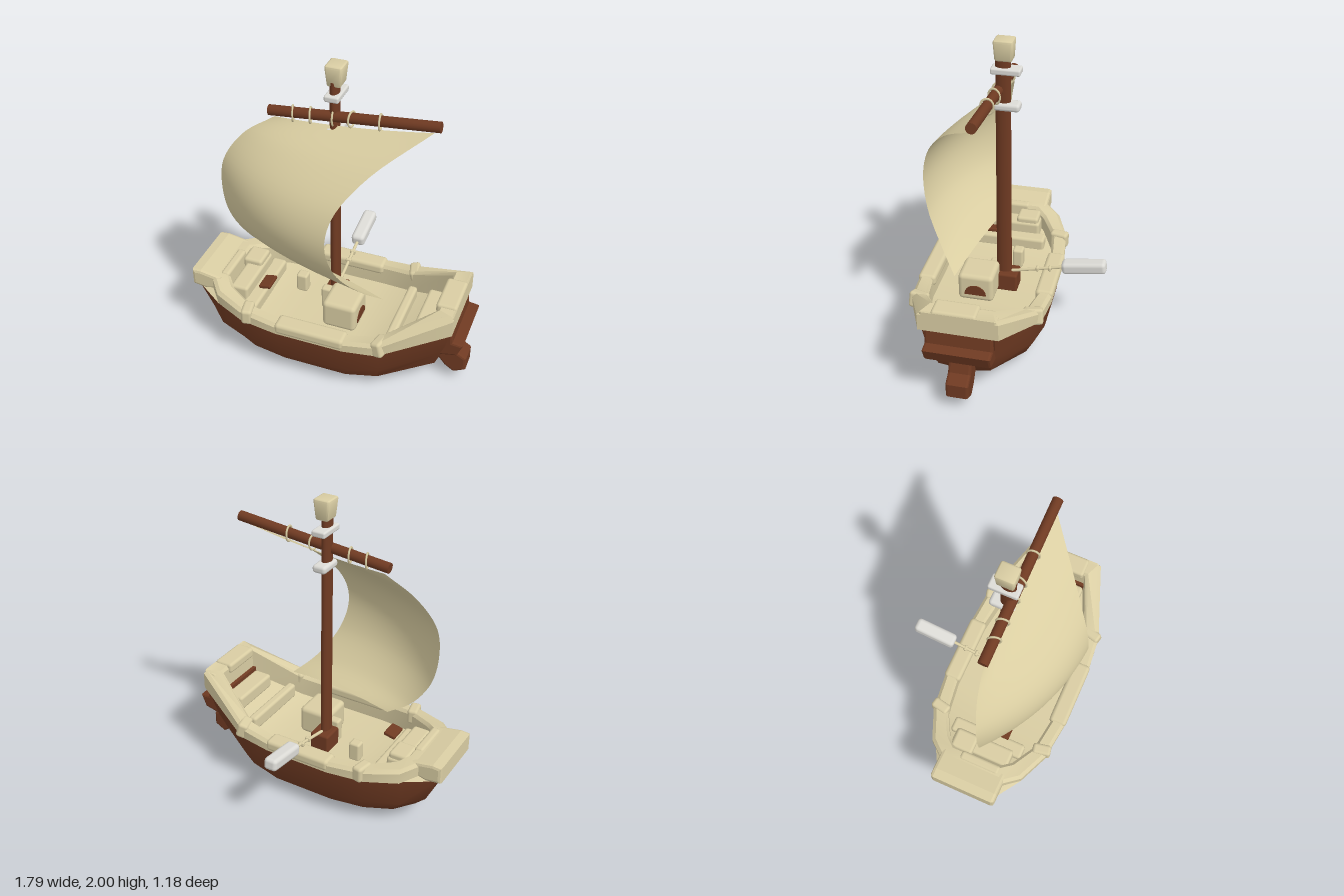
import * as THREE from 'three';
import { toCreasedNormals } from 'three/addons/utils/BufferGeometryUtils.js';
import { RoundedBoxGeometry } from 'three/addons/geometries/RoundedBoxGeometry.js';
import { ParametricGeometry } from 'three/addons/geometries/ParametricGeometry.js';

const CZ = 0.145; // centre line of the hull

function paint(name, color, side = THREE.FrontSide) {
  const m = new THREE.MeshStandardMaterial({ color, side });
  m.name = name;
  return m;
}

// Joins closed rings into a skin. Each ring is a half outline of [x, halfWidth, y], bow to stern.
function loft(rings, { bottom = false, top = false }, crease = 0.5) {
  const n = rings[0].length, N = 2 * n, pos = [], idx = [];
  for (const r of rings) {
    for (const [x, w, y] of r) pos.push(x, y, CZ + w);
    for (const [x, w, y] of [...r].reverse()) pos.push(x, y, CZ - w);
  }
  const quad = (a, b, c, d) => idx.push(a, b, c, a, c, d);
  for (let k = 0; k + 1 < rings.length; k++)
    for (let i = 0; i < N; i++) {
      const j = (i + 1) % N;
      quad(k * N + i, k * N + j, (k + 1) * N + j, (k + 1) * N + i);
    }
  for (let i = 0; i + 1 < n; i++) {
    if (bottom) quad(N - 1 - i, N - 2 - i, i + 1, i);
    const o = (rings.length - 1) * N;
    if (top) quad(o + i, o + i + 1, o + N - 2 - i, o + N - 1 - i);
  }
  const g = new THREE.BufferGeometry();
  g.setAttribute('position', new THREE.Float32BufferAttribute(pos, 3));
  g.setIndex(idx);
  return toCreasedNormals(g, crease);
}

// Side profile in x and y, extruded across the centre line.
function slab(points, width, bevel = 0.015) {
  const shape = new THREE.Shape(points.map(([x, y]) => new THREE.Vector2(x, y)));
  const g = new THREE.ExtrudeGeometry(shape, {
    depth: width - 2 * bevel, bevelSize: bevel, bevelThickness: bevel, bevelOffset: -bevel, bevelSegments: 2 });
  return g.translate(0, 0, CZ - width / 2 + bevel);
}

export function createModel() {
  const boat = new THREE.Group();
  boat.name = 'sailboat';
  const brown = paint('brown wood', 0x6f3a22);
  const beige = paint('beige trim', 0xd9cda3);
  const white = paint('off white', 0xdcdbd6);
  const cloth = paint('sail cloth', 0xd9cda1, THREE.DoubleSide);

  const add = (name, geo, mat, x = 0, y = 0, z = 0) => {
    const m = new THREE.Mesh(geo, mat);
    m.name = name;
    m.position.set(x, y, z);
    boat.add(m);
    return m;
  };
  const box = (name, mat, w, h, d, x, y, z, r = 0.015) =>
    add(name, new RoundedBoxGeometry(w, h, d, 2, Math.min(r, w / 2.1, h / 2.1, d / 2.1)), mat, x, y, z);
  const rod = (name, mat, a, b, r0, r1 = r0) => {
    const A = new THREE.Vector3(...a), B = new THREE.Vector3(...b), d = B.clone().sub(A);
    const m = add(name, new THREE.CylinderGeometry(r1, r0, d.length(), 16), mat);
    m.position.copy(A).add(B).multiplyScalar(0.5);
    m.quaternion.setFromUnitVectors(new THREE.Vector3(0, 1, 0), d.normalize());
    return m;
  };

  // Hull, from the bottom up
  const sheer = [[-0.86, 0.19, 0.38], [-0.68, 0.29, 0.37], [-0.47, 0.37, 0.365], [-0.23, 0.4, 0.36],
    [0.21, 0.4, 0.36], [0.42, 0.375, 0.38], [0.82, 0.22, 0.53]];
  const floor = [[-0.66, 0.06, 0.05], [-0.56, 0.14, 0.04], [-0.4, 0.17, 0.027], [-0.2, 0.19, 0.018],
    [0.2, 0.19, 0.018], [0.4, 0.16, 0.036], [0.68, 0.08, 0.14]];
  add('hull', loft([
    floor.map(([x, w, y]) => [x, w * 0.25, y - 0.016]),
    floor,
    [[-0.7, 0.12, 0.09], [-0.6, 0.23, 0.08], [-0.43, 0.31, 0.08], [-0.21, 0.34, 0.075],
      [0.2, 0.34, 0.075], [0.4, 0.31, 0.1], [0.72, 0.16, 0.19]],
    [[-0.79, 0.17, 0.2], [-0.67, 0.28, 0.18], [-0.45, 0.36, 0.17], [-0.22, 0.39, 0.165],
      [0.21, 0.39, 0.165], [0.42, 0.36, 0.2], [0.77, 0.2, 0.33]],
    sheer,
  ], { bottom: true }, 0.6), brown);

  // Gunwale, inner walls and deck in one skin
  const outer = [[-0.76, 0.21, 0.4], [-0.67, 0.315, 0.37], [-0.47, 0.4, 0.36], [-0.23, 0.43, 0.355],
    [0.21, 0.43, 0.355], [0.42, 0.41, 0.37], [0.83, 0.24, 0.52]];
  const rise = [0.09, 0.09, 0.08, 0.07, 0.07, 0.08, 0.13];
  const inner = [[-0.66, 0.15, 0.38], [-0.6, 0.22, 0.34], [-0.44, 0.31, 0.29], [-0.22, 0.34, 0.28],
    [0.21, 0.34, 0.28], [0.4, 0.31, 0.3], [0.72, 0.17, 0.45]];
  add('gunwaleAndDeck', loft([
    sheer,
    outer,
    outer.map(([x, w, y], i) => [x, w, y + rise[i] - 0.02]),
    outer.map(([x, w, y], i) => [x * 0.985, w - 0.02, y + rise[i]]),
    inner.map(([x, w], i) => [x * 1.02, w + 0.015, outer[i][2] + rise[i]]),
    inner.map(([x, w], i) => [x, w, outer[i][2] + rise[i] - 0.02]),
    inner,
  ], { top: true }), beige);

  // Thicker rail segments and joint collars, mirrored
  for (const s of [1, -1]) {
    box('railSegment', beige, 0.45, 0.075, 0.115, -0.01, 0.398, CZ + s * 0.38, 0.025);
    for (const [x, y, w, turn, tilt] of [[-0.44, 0.405, 0.36, 0.2, 0], [0.43, 0.415, 0.36, -0.25, 0.25]]) {
      const c = box('railCollar', beige, 0.07, 0.105, 0.12, x, y, CZ + s * w, 0.02);
      c.rotation.set(0, s * turn, tilt);
    }
    for (const x of [-0.25, 0.345])
      add('foot', new THREE.SphereGeometry(0.032, 12, 8), beige, x, 0.07, CZ + s * 0.25);
  }

  // Bow roll and stern beam
  add('bowRoll', slab([[-0.9, 0.39], [-0.9, 0.505], [-0.84, 0.51], [-0.7, 0.485], [-0.7, 0.4], [-0.8, 0.375]], 0.44, 0.02), beige);
  add('sternBeam', slab([[0.74, 0.5], [0.72, 0.59], [0.75, 0.635], [0.83, 0.65], [0.83, 0.52]], 0.46), beige);
  box('sternBlock', beige, 0.13, 0.07, 0.27, 0.765, 0.63, 0.17, 0.02);

  // Transom shelf and rudder
  add('transomShelf', slab([[0.7, 0.3], [0.86, 0.335], [0.895, 0.42], [0.83, 0.43], [0.82, 0.53], [0.7, 0.5]], 0.41), brown);
  add('rudder', slab([[0.68, 0.2], [0.72, 0.33], [0.8, 0.33], [0.83, 0.23], [0.895, 0.19], [0.895, 0.1],
    [0.82, 0.06], [0.76, 0.1]], 0.14), brown);

  // Benches, steps and chest on the deck
  box('sternBench', beige, 0.06, 0.1, 0.5, 0.45, 0.36, 0.15, 0.02);
  box('sternSeat', beige, 0.13, 0.1, 0.36, 0.64, 0.43, CZ, 0.02);
  box('bowSeat', beige, 0.12, 0.12, 0.4, -0.58, 0.38, CZ, 0.02);
  box('bowStep', beige, 0.1, 0.09, 0.5, -0.49, 0.32, CZ, 0.02);
  box('bowBox', beige, 0.13, 0.08, 0.15, -0.595, 0.435, 0.03, 0.02);
  box('bowCushion', beige, 0.06, 0.06, 0.27, -0.69, 0.47, 0.18, 0.02);
  box('smallChest', beige, 0.075, 0.13, 0.07, -0.265, 0.34, 0.03);
  const wedge = box('brownWedge', brown, 0.08, 0.025, 0.12, -0.43, 0.43, 0.22, 0.008);
  wedge.rotation.z = 0.2;

  // Cabin with an arched doorway on its stern side
  box('cabin', beige, 0.22, 0.19, 0.23, 0.09, 0.375, 0.21, 0.03);
  const door = add('cabinDoor', new THREE.CylinderGeometry(0.07, 0.07, 0.008, 20, 1, false, 0, Math.PI), brown, 0.201, 0.33, 0.21);
  door.rotation.z = Math.PI / 2;

  // Mast with its step, bands and cap
  box('mastStep', brown, 0.13, 0.13, 0.15, -0.02, 0.335, 0.05);
  box('mastCollar', beige, 0.11, 0.16, 0.06, -0.03, 0.36, 0.14);
  const mast = add('mast', new THREE.CylinderGeometry(0.028, 0.03, 1.62, 20), brown, -0.02, 1.09, 0.07);
  mast.scale.z = 1.65;
  box('upperBand', white, 0.09, 0.04, 0.18, -0.02, 1.805, 0.05, 0.012);
  box('lowerBand', white, 0.09, 0.05, 0.16, -0.02, 1.58, 0.045, 0.02);
  const cap = new RoundedBoxGeometry(0.11, 0.13, 0.12, 3, 0.015);
  const p = cap.attributes.position;
  for (let i = 0; i < p.count; i++) { // narrower towards the base
    const k = 0.87 + p.getY(i) * 2;
    p.setX(i, p.getX(i) * k);
    p.setZ(i, p.getZ(i) * (0.93 + p.getY(i)));
  }
  cap.computeVertexNormals();
  add('mastCap', toCreasedNormals(cap, 0.7), beige, -0.015, 1.935, 0.06);

  // Yard and its lashings
  rod('yard', brown, [-0.42, 1.64, 0.095], [0.61, 1.74, 0.095], 0.032);
  for (const [x, turn] of [[-0.27, 0.3], [-0.16, 0.2], [-0.02, 0.1], [0.09, -0.25], [0.26, 0.1]]) {
    const ring = add('lashing', new THREE.TorusGeometry(0.038, 0.006, 6, 20), beige, x, 1.675 + x * 0.097, 0.097);
    ring.rotation.set(0, Math.PI / 2 + turn, 0);
    ring.scale.y = 1.25;
  }

  // Billowing sail between two curved edges
  const edge = pts => new THREE.CatmullRomCurve3(pts.map(q => new THREE.Vector3(...q)));
  const leftEdge = edge([[-0.39, 1.6, 0.09], [-0.58, 1.47, 0.13], [-0.7, 1.29, 0.175], [-0.72, 1.1, 0.19],
    [-0.68, 0.89, 0.185], [-0.57, 0.73, 0.155], [-0.43, 0.64, 0.12]]);
  const rightEdge = edge([[0.575, 1.7, 0.1], [0.28, 1.49, 0.36], [0.13, 1.29, 0.505], [0.095, 1.1, 0.55],
    [0.14, 0.89, 0.515], [0.25, 0.7, 0.4], [0.37, 0.585, 0.29]]);
  add('sail', new ParametricGeometry((u, v, out) => {
    const a = leftEdge.getPoint(v), b = rightEdge.getPoint(v), arc = 4 * u * (1 - u);
    const belly = 0.08 * Math.sin(Math.PI * v) * arc;
    out.lerpVectors(a, b, u);
    out.x -= belly * 0.4;
    out.z += belly * 0.9;
    out.y += arc * (0.025 * v - 0.02 * (1 - v));
  }, 24, 32), cloth);

  // Paddle resting over the back rail
  rod('paddleShaft', beige, [-0.015, 0.4, 0.02], [-0.015, 0.485, -0.34], 0.01);
  for (const z of [-0.15, -0.23]) box('paddleKnot', beige, 0.04, 0.03, 0.02, -0.015, 0.42 - z * 0.16, z, 0.008);
  const blade = box('paddleBlade', white, 0.09, 0.08, 0.285, -0.015, 0.505, -0.45, 0.025);
  blade.rotation.x = 0.15;

  return boat;
}
